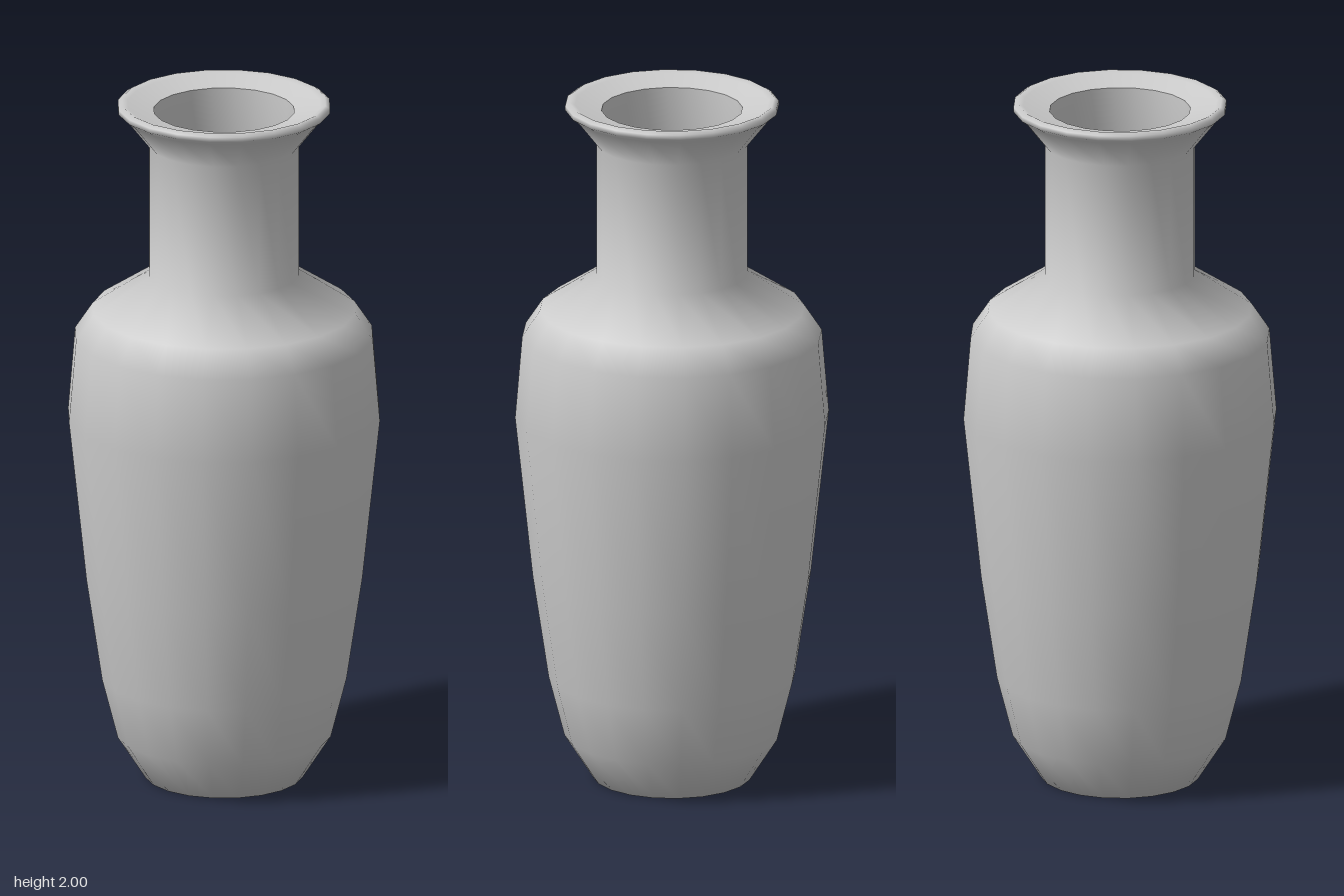
import * as THREE from 'three';

const SIDES = 20;

// Revolves a list of [radius, height] pairs into a smooth shaded surface.
function turned(name, profile, material) {
  const points = profile.map(([r, y]) => new THREE.Vector2(r, y));
  const mesh = new THREE.Mesh(new THREE.LatheGeometry(points, SIDES), material);
  mesh.name = name;
  return mesh;
}

export function createModel() {
  const group = new THREE.Group();
  group.name = 'vase';
  const material = new THREE.MeshStandardMaterial({ color: 0xcccccc, side: THREE.DoubleSide });

  // Foot, tapered belly, shoulder, straight neck, flared lip and dished mouth
  group.add(turned('outerBody', [
    [0, 0], [0.225, 0],
    [0.305, 0.125], [0.35, 0.3], [0.395, 0.6], [0.445, 1.07],
    [0.425, 1.31], [0.375, 1.385],
    [0.214, 1.49], [0.214, 1.875],
    [0.285, 1.965], [0.303, 1.978], [0.303, 1.992], [0.29, 2.0],
    [0.275, 1.993], [0.2, 1.975],
  ], material));

  // Hollow inside, from the mouth down to the floor
  group.add(turned('innerWall', [
    [0.2, 1.975], [0.2, 1.49],
    [0.36, 1.375], [0.405, 1.3], [0.425, 1.07],
    [0.375, 0.6], [0.33, 0.3], [0.285, 0.13],
    [0.2, 0.03], [0, 0.03],
  ], material));

  return group;
}
